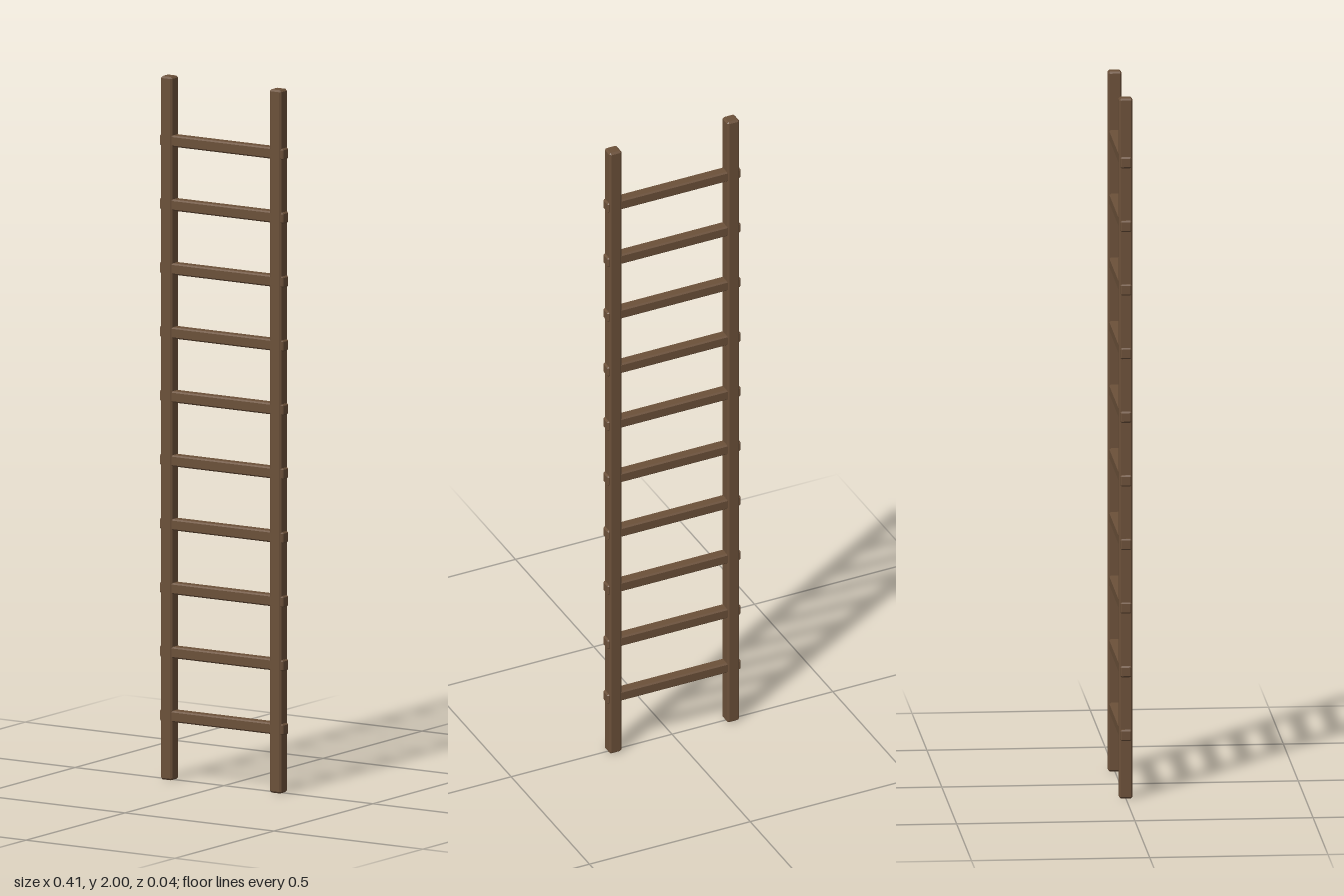
import * as THREE from 'three';
import { ConvexGeometry } from 'three/addons/geometries/ConvexGeometry.js';

// Box with every edge and corner chamfered by c
function chamferedBox(w, h, d, c) {
  const points = [];
  for (const sx of [-1, 1]) for (const sy of [-1, 1]) for (const sz of [-1, 1]) {
    const x = w / 2, y = h / 2, z = d / 2;
    points.push(
      new THREE.Vector3(sx * x, sy * (y - c), sz * (z - c)),
      new THREE.Vector3(sx * (x - c), sy * y, sz * (z - c)),
      new THREE.Vector3(sx * (x - c), sy * (y - c), sz * z)
    );
  }
  return new ConvexGeometry(points);
}

export function createModel() {
  const ladder = new THREE.Group();
  ladder.name = 'ladder';
  const wood = new THREE.MeshStandardMaterial({ color: 0x6b5039, flatShading: true });

  const add = (name, geometry, x, y) => {
    const mesh = new THREE.Mesh(geometry, wood);
    mesh.name = name;
    mesh.position.set(x, y, 0);
    ladder.add(mesh);
  };

  // Two upright rails
  const rail = chamferedBox(0.038, 2, 0.038, 0.005);
  add('leftRail', rail, 0.183, 1);
  add('rightRail', rail, -0.183, 1);

  // Ten rungs whose ends poke out through the rails
  const rung = chamferedBox(0.415, 0.032, 0.032, 0.004);
  for (let i = 1; i <= 10; i++) add('rung' + i, rung, 0, i * 0.1818);

  return ladder;
}
